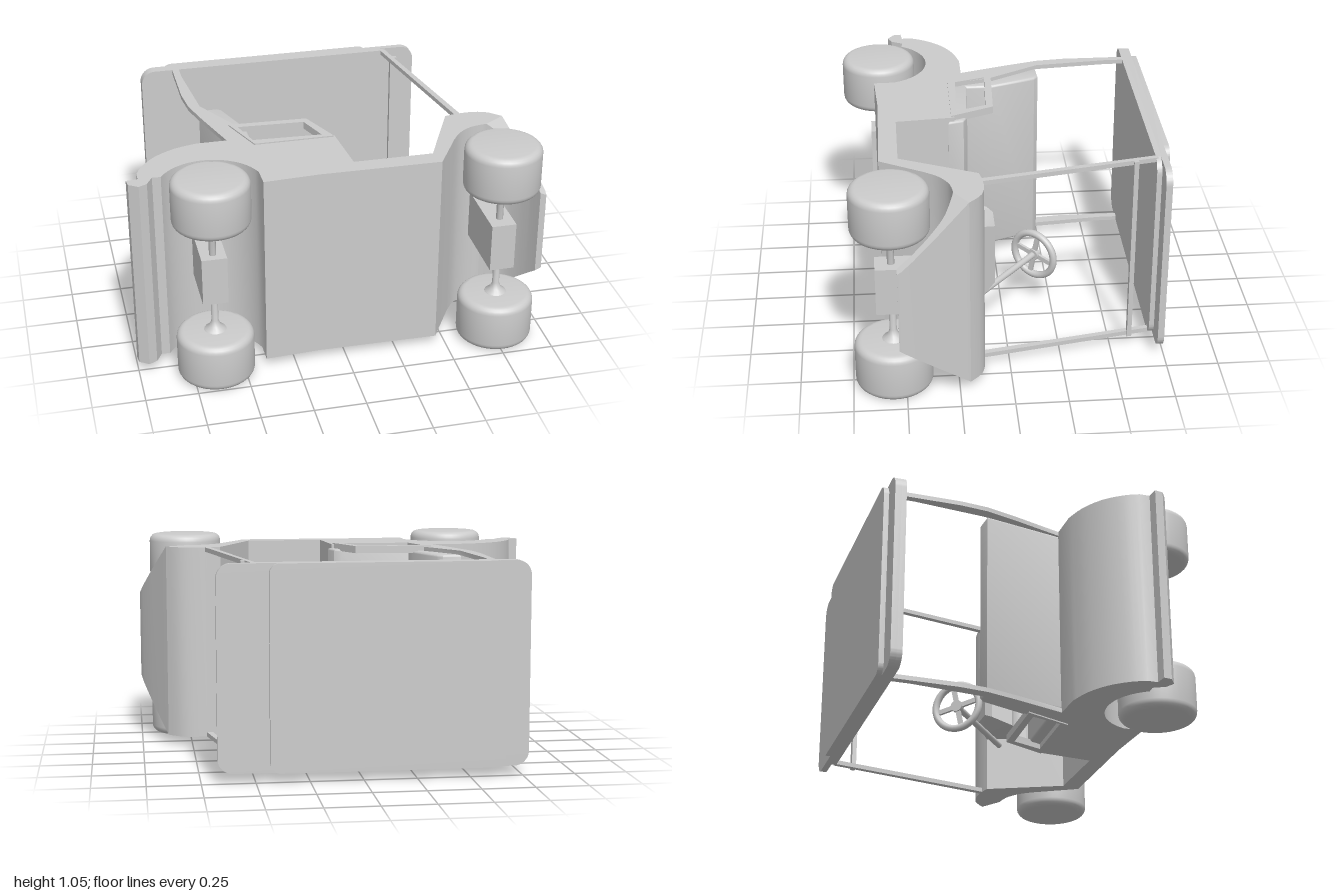
import * as THREE from 'three';
import { toCreasedNormals } from 'three/addons/utils/BufferGeometryUtils.js';

// Cart frame: x forward, y up, z across the width (0.045 to 1.01).
const Z0 = 0.045, Z1 = 1.01, MID = 0.5275;
const material = new THREE.MeshStandardMaterial({ color: 0xcccccc, side: THREE.DoubleSide });

const spline = (pts, n = 14) =>
  new THREE.SplineCurve(pts.map(p => new THREE.Vector2(...p))).getPoints(n).map(v => [v.x, v.y]);

const shapeOf = (pts, hole) => {
  const s = new THREE.Shape(pts.map(p => new THREE.Vector2(...p)));
  if (hole) s.holes.push(new THREE.Path(hole.map(p => new THREE.Vector2(...p))));
  return s;
};

export function createModel() {
  const model = new THREE.Group();
  model.name = 'golfCart';
  const cart = new THREE.Group();
  cart.name = 'cartOnItsSide';
  cart.rotation.x = -Math.PI / 2;
  model.add(cart);

  const add = (name, geo, parent = cart) => {
    const m = new THREE.Mesh(geo, material);
    m.name = name;
    parent.add(m);
    return m;
  };

  // Side profile swept across the width; inset(x, y) narrows both ends.
  const slab = (name, pts, z0, z1, { hole, inset, bevel = 0 } = {}) => {
    let geo = new THREE.ExtrudeGeometry(shapeOf(pts, hole), {
      depth: z1 - z0 - 2 * bevel, bevelEnabled: bevel > 0, bevelThickness: bevel,
      bevelSize: bevel, bevelOffset: -bevel, bevelSegments: 3,
    });
    geo.translate(0, 0, z0 + bevel);
    if (inset) {
      const p = geo.attributes.position;
      for (let i = 0; i < p.count; i++) {
        const z = p.getZ(i), d = inset(p.getX(i), p.getY(i));
        p.setZ(i, z < (z0 + z1) / 2 ? z + d : z - d);
      }
    }
    return add(name, toCreasedNormals(geo, 0.6));
  };

  // Lower body with floor, wheel arches and rear bumper lip
  const rearArch = [];
  for (let i = 0; i <= 18; i++) {
    const a = THREE.MathUtils.degToRad(149 - (i / 18) * 131);
    rearArch.push([-0.63 + 0.245 * Math.cos(a), -0.58 + 0.245 * Math.sin(a)]);
  }
  slab('body', [
    ...rearArch, [-0.395, -0.605], [-0.13, -0.59], [0.45, -0.595],
    ...spline([[0.57, -0.39], [0.62, -0.325], [0.69, -0.28], [0.77, -0.265]], 10),
    ...spline([[0.87, -0.2], [0.81, -0.145], [0.74, -0.125], [0.66, -0.128], [0.6, -0.14]], 10),
    [0.43, -0.505], [0.05, -0.505], [0.025, -0.22], [-0.36, -0.22], [-0.48, -0.16],
    ...spline([[-0.63, -0.16], [-0.74, -0.19], [-0.84, -0.25], [-0.91, -0.33], [-0.945, -0.4]], 12),
    [-0.945, -0.45], [-1, -0.455], [-0.995, -0.495], [-0.95, -0.525], [-0.91, -0.505], [-0.88, -0.45],
  ], Z0, Z1);

  // Nose cowl, its corners cut off diagonally
  slab('noseCowl', [
    [0.87, -0.2], [0.94, -0.35], [0.985, -0.46], [1, -0.51], [1, -0.53], [0.97, -0.53],
    ...spline([[0.95, -0.46], [0.915, -0.385], [0.86, -0.31], [0.77, -0.265]], 10),
  ], Z0, Z1, { inset: (x, y) => 0.8 * Math.max(0, (x - 0.87) * 0.545 - (y + 0.2) * 0.84) });

  // Dashboard in the middle of the front panel
  slab('dashboard', [
    [0.6, -0.14], [0.52, -0.06], [0.385, -0.06], [0.36, -0.09], [0.36, -0.2], [0.38, -0.215],
    ...spline([[0.45, -0.218], [0.5, -0.24], [0.52, -0.285], [0.51, -0.33]], 8),
  ], 0.32, 0.73, { inset: (x, y) => 0.05 * THREE.MathUtils.clamp((y + 0.15) / 0.09, 0, 1) });

  // Bench seat
  slab('seatCushion', [[-0.42, -0.25], [-0.4, -0.135], [-0.02, -0.155], [0.018, -0.175], [0.04, -0.25]],
    0.065, 0.99, { bevel: 0.012 });
  slab('seatBack', [
    [-0.555, 0.23], [-0.465, 0.235], [-0.44, 0.215], [-0.36, -0.01], [-0.36, -0.2], [-0.47, -0.2],
  ], 0.065, 0.99, { bevel: 0.012 });

  // Parts repeated on both sides
  for (const [side, outer, dir] of [['right', Z1, -1], ['left', Z0, 1]]) {
    const span = (t, proud = 0) => {
      const a = outer - dir * proud, b = outer + dir * t;
      return [Math.min(a, b), Math.max(a, b)];
    };
    slab(side + 'RearPost', [
      [-0.62, 0.7], [-0.585, 0.7], [-0.585, 0.6], [-0.55, 0.235], [-0.41, -0.02], [-0.36, -0.23],
      [-0.5, -0.23], [-0.485, -0.16], [-0.56, 0.08], [-0.605, 0.24], [-0.62, 0.38],
    ], ...span(0.022));
    slab(side + 'WindshieldPost', [[0.49, 0.7], [0.515, 0.7], [0.68, -0.14], [0.65, -0.14]], ...span(0.022));
    slab(side + 'Armrest', [[-0.45, -0.01], [-0.07, -0.025], [0.02, -0.235], [-0.365, -0.235]],
      ...span(0.03, 0.006), { hole: [[-0.41, -0.045], [-0.365, -0.195], [-0.035, -0.21], [-0.09, -0.06]] });
  }

  // Windshield cross bar
  const bar = add('windshieldBar', new THREE.BoxGeometry(0.035, 0.022, Z1 - Z0));
  bar.position.set(0.535, 0.595, MID);

  // Roof from stacked panels with rounded plan corners
  const roofPanel = (name, x0, x1, y0, y1, r) => {
    const s = new THREE.Shape();
    s.moveTo(x0 + r, Z0);
    s.lineTo(x1 - r, Z0).absarc(x1 - r, Z0 + r, r, -Math.PI / 2, 0);
    s.absarc(x1 - r, Z1 - r, r, 0, Math.PI / 2);
    s.absarc(x0 + r, Z1 - r, r, Math.PI / 2, Math.PI);
    s.absarc(x0 + r, Z0 + r, r, Math.PI, Math.PI * 1.5);
    const geo = new THREE.ExtrudeGeometry(s, { depth: y1 - y0, bevelEnabled: false, curveSegments: 8 });
    geo.rotateX(Math.PI / 2).translate(0, y1, 0);
    add(name, toCreasedNormals(geo, 0.6));
  };
  roofPanel('roofLower', -0.78, 0.56, 0.69, 0.716, 0.07);
  roofPanel('roofMiddle', -0.78, 0.675, 0.714, 0.745, 0.07);
  roofPanel('roofTop', -0.665, 0.435, 0.744, 0.77, 0.05);

  // Wheels, axles and axle housings
  const tyreProfile = [[0, 0], [0.14, 0]];
  for (let i = 0; i <= 5; i++) {
    const a = (i / 5) * Math.PI / 2;
    tyreProfile.push([0.148 + 0.036 * Math.sin(a), 0.036 - 0.036 * Math.cos(a)]);
  }
  for (let i = 5; i >= 0; i--) {
    const a = (i / 5) * Math.PI / 2;
    tyreProfile.push([0.148 + 0.036 * Math.sin(a), 0.204 + 0.036 * Math.cos(a)]);
  }
  tyreProfile.push([0, 0.24]);
  const lathe = (pts, n) => toCreasedNormals(
    new THREE.LatheGeometry(pts.map(p => new THREE.Vector2(...p)), n).rotateX(Math.PI / 2), 0.7);
  const tyre = lathe(tyreProfile, 40);
  const axle = lathe([[0.06, 0.23], [0.05, 0.245], [0.028, 0.26], [0.017, 0.29],
    [0.017, 0.76], [0.028, 0.79], [0.05, 0.805], [0.06, 0.82]], 16);

  for (const [end, x, y, top] of [['rear', -0.635, -0.58, -0.32], ['front', 0.76, -0.555, -0.25]]) {
    for (const [side, z] of [['Left', 0], ['Right', 0.81]]) {
      add(end + side + 'Wheel', tyre).position.set(x, y, z);
    }
    add(end + 'Axle', axle).position.set(x, y, 0);
    const housing = add(end + 'AxleHousing', new THREE.BoxGeometry(0.12, top + 0.63, 0.24));
    housing.position.set(x, (top - 0.63) / 2, MID);
  }

  // Steering wheel and column; local y runs up the column
  const steering = new THREE.Group();
  steering.name = 'steering';
  steering.position.set(0.135, 0.165, 0.285);
  steering.rotation.z = Math.atan2(51, 43);
  cart.add(steering);
  const rim = add('steeringRim', new THREE.TorusGeometry(0.117, 0.018, 10, 40), steering);
  rim.rotation.x = Math.PI / 2;
  add('steeringHub', new THREE.CylinderGeometry(0.03, 0.03, 0.03, 16), steering);
  for (let i = 0; i < 4; i++) {
    const a = i * Math.PI / 2 + 0.2;
    const spoke = add('steeringSpoke', new THREE.BoxGeometry(0.1, 0.014, 0.024), steering);
    spoke.position.set(0.065 * Math.cos(a), 0, -0.065 * Math.sin(a));
    spoke.rotation.y = a;
  }
  const column = add('steeringColumn', new THREE.CylinderGeometry(0.016, 0.016, 0.56, 12), steering);
  column.position.y = -0.28;

  return model;
}
